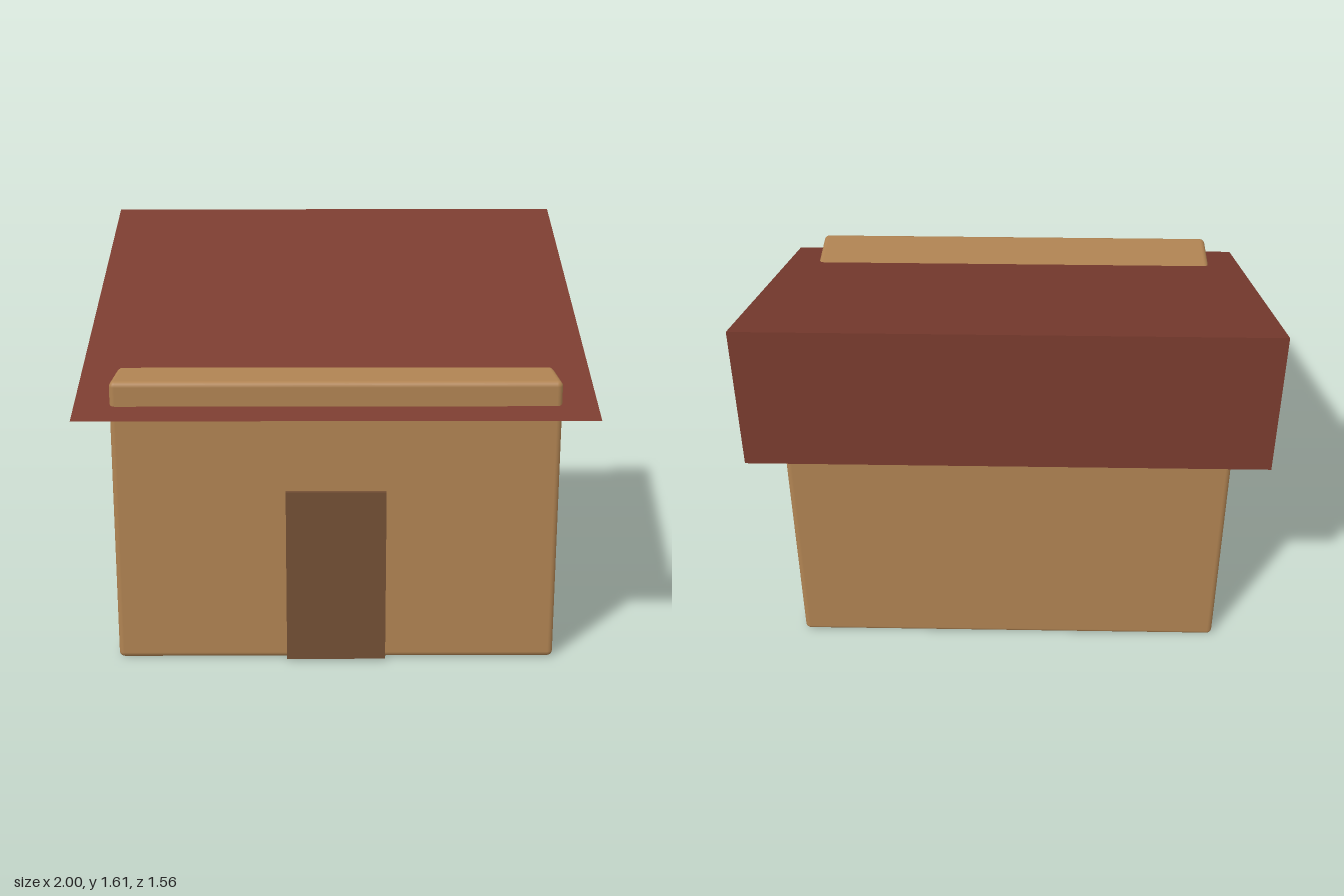
import * as THREE from 'three';
import { RoundedBoxGeometry } from 'three/addons/geometries/RoundedBoxGeometry.js';

const material = (name, color) => {
  const m = new THREE.MeshStandardMaterial({ color });
  m.name = name;
  return m;
};

export function createModel() {
  const model = new THREE.Group();
  model.name = 'hut';

  const add = (name, geometry, mat, x = 0, y = 0, z = 0) => {
    const mesh = new THREE.Mesh(geometry, mat);
    mesh.name = name;
    mesh.position.set(x, y, z);
    model.add(mesh);
    return mesh;
  };

  const wall = material('tan wall', 0xb08352);
  const tile = material('red brown roof', 0x7a3c2f);
  const wood = material('dark wood', 0x734f35);

  // Softly rounded body; its top front edge pokes through the roof
  add('walls', new RoundedBoxGeometry(1.73, 1.13, 1.385, 3, 0.022), wall, 0, 0.565, 0);

  // Single-slope wedge roof: profile in z and y, extruded across x
  const profile = new THREE.Shape([
    new THREE.Vector2(-0.78, 1),
    new THREE.Vector2(0.78, 1),
    new THREE.Vector2(-0.78, 1.61),
  ]);
  const roof = new THREE.ExtrudeGeometry(profile, { depth: 2, bevelEnabled: false });
  roof.translate(0, 0, -1).rotateY(-Math.PI / 2);
  add('roof', roof, tile);

  // Door slab standing slightly proud of the front wall
  add('door', new THREE.BoxGeometry(0.39, 0.695, 0.04), wood, 0, 0.3495, 0.692);

  return model;
}
